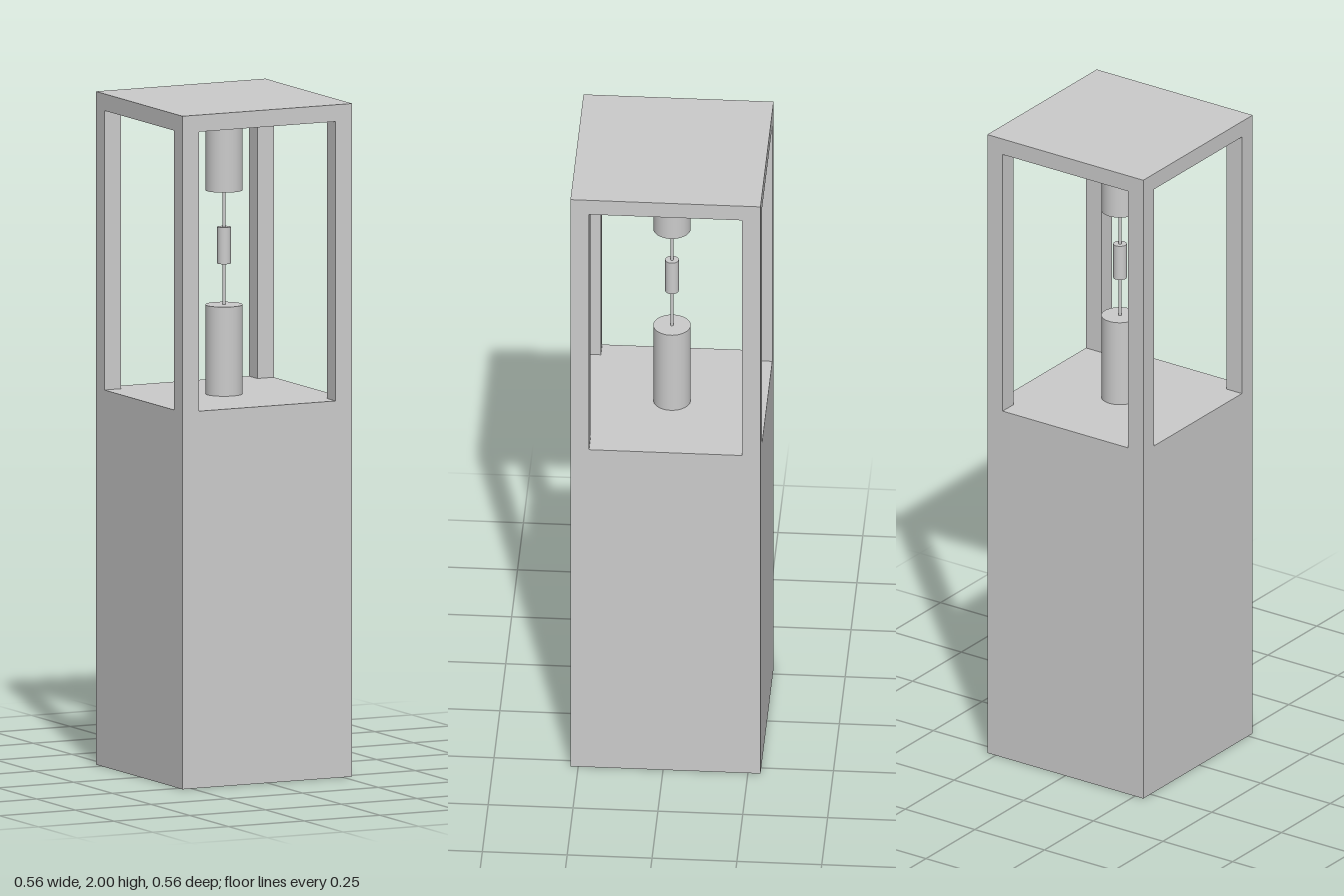
import * as THREE from 'three';

const WIDTH = 0.56, POST = 0.055;
const FLOOR = 1.12, CEILING = 1.95, TOP = 2;

export function createModel() {
  const model = new THREE.Group();
  model.name = 'displayPillar';
  const material = new THREE.MeshStandardMaterial({ color: 0xcccccc });

  const add = (name, geometry, x, y, z) => {
    const mesh = new THREE.Mesh(geometry, material);
    mesh.name = name;
    mesh.position.set(x, y, z);
    model.add(mesh);
  };
  const block = (name, w, y0, y1, x = 0, z = 0) =>
    add(name, new THREE.BoxGeometry(w, y1 - y0, w), x, (y0 + y1) / 2, z);
  const cylinder = (name, r, y0, y1, sides = 48) =>
    add(name, new THREE.CylinderGeometry(r, r, y1 - y0, sides), 0, (y0 + y1) / 2, 0);

  // Solid plinth and roof slab
  block('plinth', WIDTH, 0, FLOOR);
  block('roof', WIDTH, CEILING, TOP);

  // Four corner posts around the open display bay
  const offset = (WIDTH - POST) / 2;
  for (const sx of [-1, 1])
    for (const sz of [-1, 1])
      block('cornerPost', POST, FLOOR, CEILING, sx * offset, sz * offset);

  // Component held on thin wires between two round holders
  cylinder('lowerHolder', 0.055, FLOOR, 1.385);
  cylinder('upperHolder', 0.055, 1.725, CEILING);
  cylinder('resistorBody', 0.02, 1.507, 1.616, 32);
  cylinder('lowerWire', 0.005, 1.385, 1.507, 16);
  cylinder('upperWire', 0.005, 1.616, 1.725, 16);

  // The pillar sits slightly behind the centre line
  model.position.z = -0.007;
  const root = new THREE.Group();
  root.name = 'displayPillarRoot';
  root.add(model);
  return root;
}
